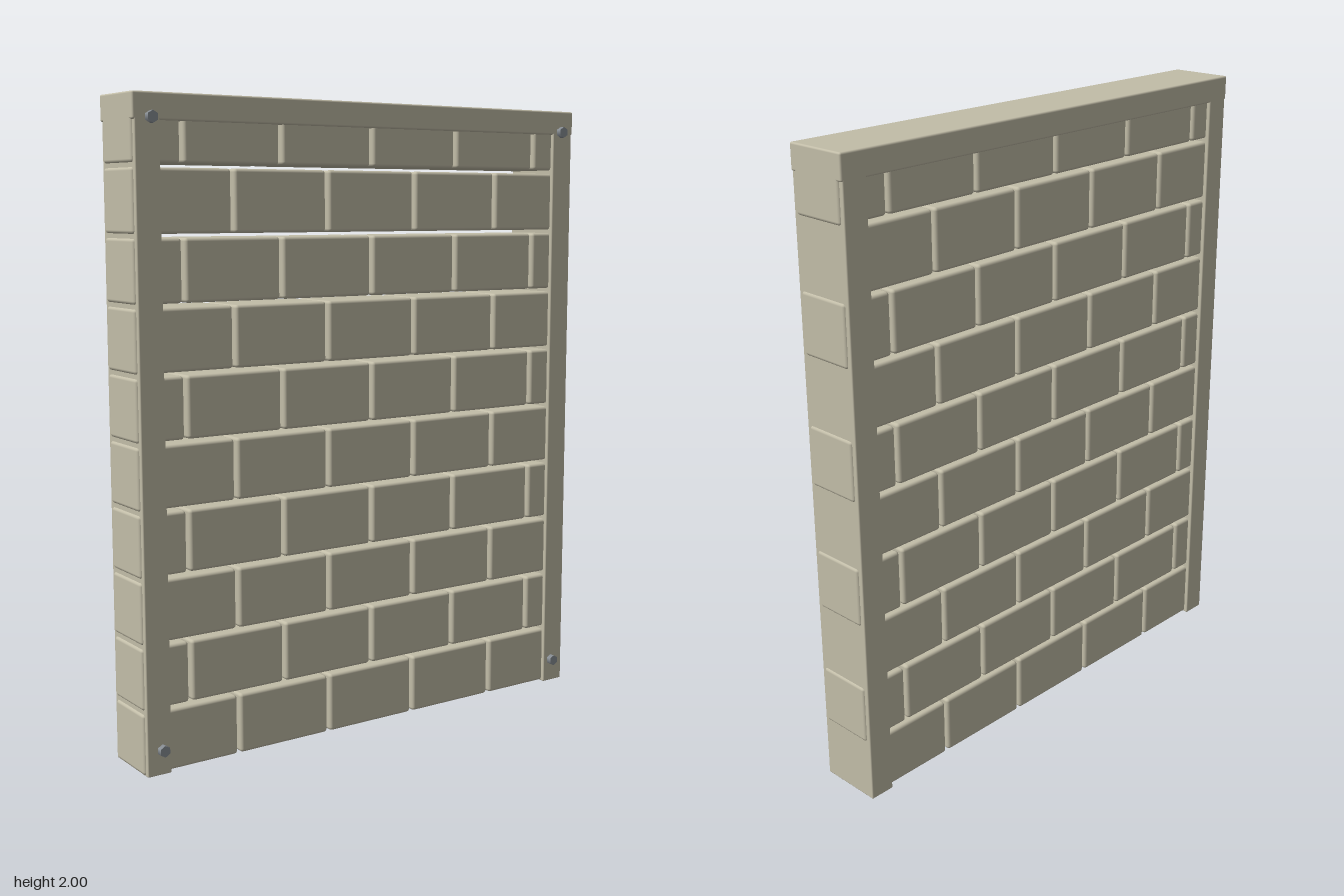
import * as THREE from 'three';
import { RoundedBoxGeometry } from 'three/addons/geometries/RoundedBoxGeometry.js';

export function createModel() {
  const wall = new THREE.Group();
  wall.name = 'framedBlockWall';
  const stone = new THREE.MeshStandardMaterial({ color: 0xc2bda8 });
  const steel = new THREE.MeshStandardMaterial({ color: 0x8a9096 });

  // Bevelled block given by its lower and upper corners
  function block(name, parent, [x0, y0, z0], [x1, y1, z1], bevel) {
    const geometry = new RoundedBoxGeometry(x1 - x0, y1 - y0, z1 - z0, 2, bevel);
    const mesh = new THREE.Mesh(geometry, stone);
    mesh.position.set((x0 + x1) / 2, (y0 + y1) / 2, (z0 + z1) / 2);
    mesh.name = name;
    parent.add(mesh);
  }

  // Ten courses in running bond with open joints
  const left = -0.833, right = 0.828, pitch = 0.333, gap = 0.011;
  for (let row = 0; row < 10; row++) {
    const course = new THREE.Group();
    course.name = 'brickCourse' + (row + 1);
    wall.add(course);
    const odd = row % 2 === 1;
    const y = row * 0.2 + 0.003;
    const first = odd ? left - pitch / 2 : left;
    for (let i = 0; i < (odd ? 6 : 5); i++) {
      const x0 = Math.max(first + i * pitch, left);
      const x1 = Math.min(first + (i + 1) * pitch - gap, right);
      block('brick', course, [x0, y, -0.1], [x1, y + 0.188, 0.083], 0.01);
    }
  }

  // Frame: two posts and the cap beam, standing proud of the bricks
  const back = -0.113, front = 0.095;
  block('rightPost', wall, [-0.827, 0, back], [-0.747, 1.95, front], 0.004);
  block('leftPost', wall, [0.741, 0, back], [0.823, 1.95, front], 0.004);
  block('capBeam', wall, [left, 1.922, back], [right, 2, front], 0.006);

  // Hexagonal bolts in the four corners of the front
  const boltGeometry = new THREE.CylinderGeometry(0.018, 0.018, 0.03, 6).rotateX(Math.PI / 2);
  for (const x of [-0.777, 0.773]) {
    for (const y of [0.077, 1.93]) {
      const bolt = new THREE.Mesh(boltGeometry, steel);
      bolt.position.set(x, y, 0.098);
      bolt.name = 'cornerBolt';
      wall.add(bolt);
    }
  }
  return wall;
}
